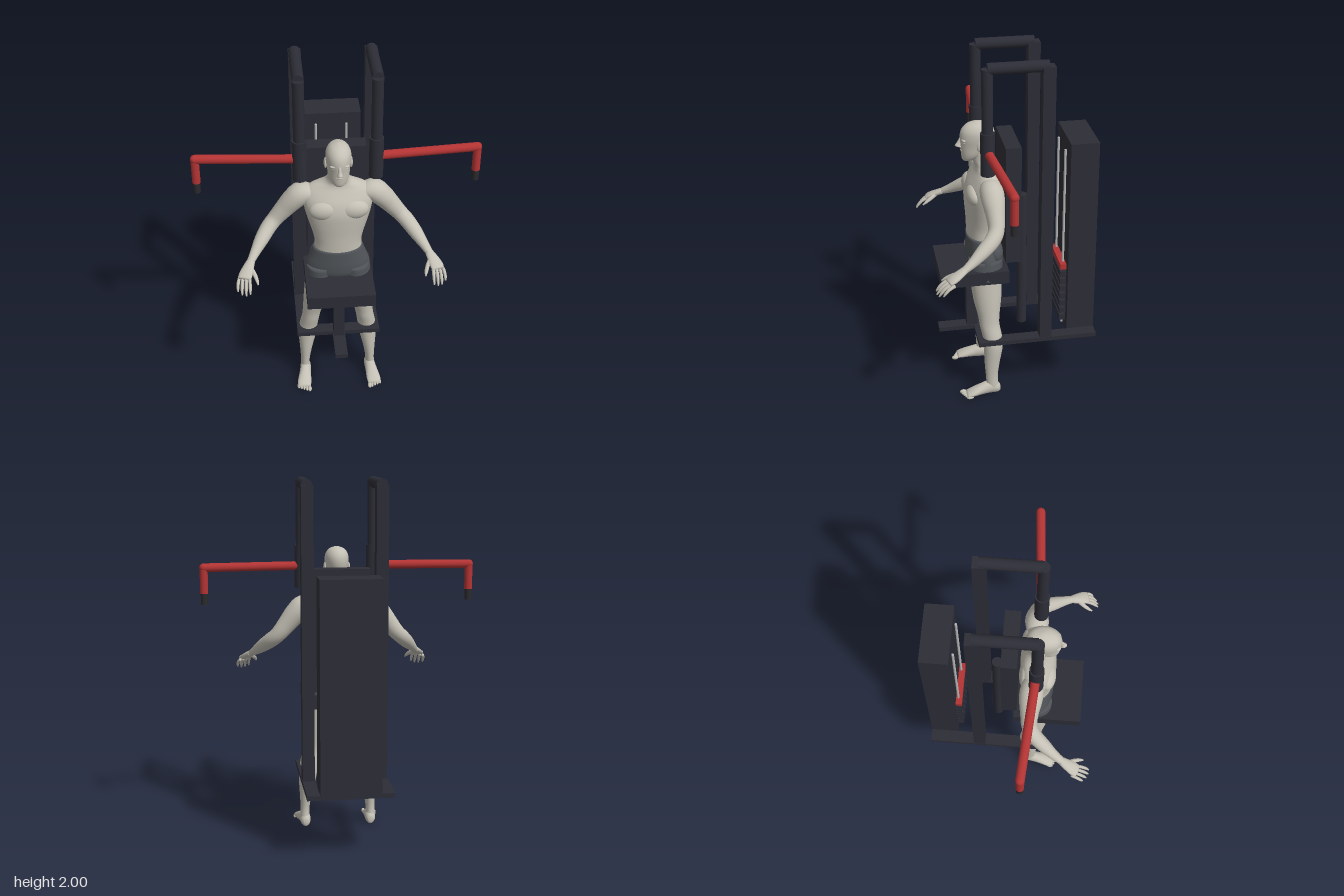
import * as THREE from 'three';

const mat = (name, color) => {
  const m = new THREE.MeshStandardMaterial({ color });
  m.name = name;
  return m;
};
const V = (x, y, z) => new THREE.Vector3(x, y, z);
const X = V(1, 0, 0), Y = V(0, 1, 0), Z = V(0, 0, 1);

// Smooth closed skin through elliptical sections [x, y, z, radiusU, radiusV].
// With an axis all rings lie across it, otherwise they follow the path.
function loft(sections, { axis = null, ref = Z, sides = 24, steps = 4 } = {}) {
  const path = new THREE.CatmullRomCurve3(sections.map(s => V(s[0], s[1], s[2])), false, 'catmullrom');
  const radii = new THREE.CatmullRomCurve3(sections.map(s => V(s[3], s[4], 0)), false, 'catmullrom');
  const n = (sections.length - 1) * steps;
  const pos = [], index = [];
  for (let i = 0; i <= n; i++) {
    const c = path.getPoint(i / n), r = radii.getPoint(i / n);
    const t = axis || path.getTangent(i / n);
    const u = ref.clone().cross(t).normalize();
    if (t === Y) u.copy(X);
    const v = t.clone().cross(u);
    for (let j = 0; j < sides; j++) {
      const a = (j / sides) * Math.PI * 2;
      const p = c.clone().addScaledVector(u, r.x * Math.cos(a)).addScaledVector(v, r.y * Math.sin(a));
      pos.push(p.x, p.y, p.z);
    }
  }
  for (let i = 0; i < n; i++) for (let j = 0; j < sides; j++) {
    const a = i * sides + j, b = i * sides + (j + 1) % sides;
    index.push(a, b, a + sides, b, b + sides, a + sides);
  }
  // end caps
  const first = sections[0], last = sections[sections.length - 1], k = pos.length / 3;
  pos.push(first[0], first[1], first[2], last[0], last[1], last[2]);
  for (let j = 0; j < sides; j++) {
    const j2 = (j + 1) % sides;
    index.push(k, j2, j, k + 1, n * sides + j, n * sides + j2);
  }
  const g = new THREE.BufferGeometry();
  g.setAttribute('position', new THREE.Float32BufferAttribute(pos, 3));
  g.setIndex(index);
  g.computeVertexNormals();
  return g;
}

export function createModel() {
  const model = new THREE.Group();
  model.name = 'chestMachineWithUser';
  const frame = mat('charcoal frame', 0x2d2d37);
  const red = mat('red paint', 0xb43434);
  const grip = mat('black rubber', 0x2a2a2e);
  const steel = mat('steel', 0xb4b4b4);
  const skin = mat('pale skin', 0xc4c0b5);
  const cloth = mat('grey shorts', 0x505458);

  const machine = new THREE.Group(), person = new THREE.Group();
  machine.name = 'machine';
  person.name = 'person';
  model.add(machine, person);

  const add = (parent, name, geo, material) => {
    const m = new THREE.Mesh(geo, material);
    m.name = name;
    parent.add(m);
    return m;
  };
  // box given by its limits
  const box = (name, x0, x1, y0, y1, z0, z1, m = frame) =>
    add(machine, name, new THREE.BoxGeometry(x1 - x0, y1 - y0, z1 - z0), m)
      .position.set((x0 + x1) / 2, (y0 + y1) / 2, (z0 + z1) / 2);
  const rod = (name, a, b, r, m = frame) => {
    const o = add(machine, name, new THREE.CylinderGeometry(r, r, a.distanceTo(b), 24), m);
    o.position.copy(a).add(b).multiplyScalar(0.5);
    o.quaternion.setFromUnitVectors(Y, b.clone().sub(a).normalize());
  };
  const ball = (parent, name, p, s, m) => {
    const o = add(parent, name, new THREE.SphereGeometry(1, 20, 14), m);
    o.position.set(...p);
    o.scale.set(...s);
    return o;
  };

  // base
  box('frontCrossbar', -0.235, 0.235, 0.345, 0.37, 0.13, 0.2);
  box('rearPlate', -0.165, 0.165, 0.345, 0.37, -0.47, -0.315);
  box('frontFoot', -0.035, 0.035, 0.345, 0.37, 0.2, 0.4);

  // seat, backrest, cabinet
  box('seatPost', -0.03, 0.03, 0.37, 0.715, 0.18, 0.24);
  box('seat', -0.185, 0.185, 0.715, 0.79, 0.02, 0.4);
  box('backrest', -0.16, 0.16, 0.83, 1.51, -0.05, 0.035);
  box('cabinet', -0.165, 0.165, 0.37, 1.51, -0.47, -0.315);
  rod('backPost', V(0, 0.35, -0.083), V(0, 1.165, -0.083), 0.028);

  // weight stack
  for (let i = 0; i < 7; i++) box('weightPlate', -0.125, 0.125, 0.405 + i * 0.047, 0.44 + i * 0.047, -0.315, -0.28);
  box('topWeight', -0.125, 0.125, 0.735, 0.768, -0.315, -0.28, red);

  for (const s of [-1, 1]) {
    const x = 0.2 * s;
    box('sideRail', x - 0.035, x + 0.035, 0.345, 0.37, -0.47, 0.2);
    box('upright', x - 0.033, x + 0.033, 0.37, 1.97, -0.212, -0.145);
    rod('topTube', V(x, 1.969, -0.18), V(x, 1.969, 0.138), 0.031);
    rod('hangingTube', V(x, 1.5, 0.138), V(x, 1.969, 0.138), 0.03);
    rod('sleeve', V(x, 1.39, 0.138), V(x, 1.625, 0.138), 0.038);
    rod('guideRod', V(0.085 * s, 0.37, -0.302), V(0.085 * s, 1.45, -0.302), 0.007, steel);
    // swinging arm and handle
    rod('arm', V(x, 1.512, 0.135), V(0.74 * s, 1.512, 0.095), 0.024, red);
    ball(machine, 'armElbow', [0.74 * s, 1.512, 0.095], [0.024, 0.024, 0.024], red);
    rod('handleDrop', V(0.74 * s, 1.37, 0.095), V(0.74 * s, 1.512, 0.095), 0.022, red);
    rod('handGrip', V(0.74 * s, 1.31, 0.095), V(0.74 * s, 1.372, 0.095), 0.019, grip);
  }

  // torso and neck: [y, z, half width, half depth]
  const upright = rows => rows.map(([y, z, a, b]) => [0, y, z, a, b]);
  add(person, 'torso', loft(upright([
    [0.93, 0.145, 0.13, 0.083], [1.0, 0.147, 0.128, 0.083], [1.06, 0.147, 0.14, 0.085],
    [1.13, 0.145, 0.16, 0.092], [1.2, 0.143, 0.178, 0.096], [1.26, 0.135, 0.188, 0.09],
    [1.31, 0.122, 0.185, 0.075], [1.342, 0.12, 0.145, 0.06], [1.368, 0.125, 0.085, 0.053],
    [1.4, 0.138, 0.057, 0.054], [1.46, 0.15, 0.054, 0.055],
  ]), { axis: Y, sides: 36 }), skin);
  add(person, 'shortsHips', loft(upright([
    [0.765, 0.13, 0.15, 0.08], [0.8, 0.135, 0.175, 0.095], [0.85, 0.138, 0.173, 0.097],
    [0.9, 0.141, 0.155, 0.093], [0.957, 0.145, 0.135, 0.087],
  ]), { axis: Y, sides: 36 }), cloth);

  // head and face
  add(person, 'head', loft(upright([
    [1.393, 0.218, 0.018, 0.018], [1.405, 0.208, 0.036, 0.038], [1.435, 0.187, 0.053, 0.063],
    [1.48, 0.168, 0.061, 0.085], [1.53, 0.162, 0.067, 0.094], [1.57, 0.16, 0.063, 0.086],
    [1.6, 0.158, 0.043, 0.058], [1.614, 0.157, 0.01, 0.012],
  ]), { axis: Y, sides: 32 }), skin);
  add(person, 'nose', loft([
    [0, 1.473, 0.252, 0.014, 0.012], [0, 1.481, 0.265, 0.015, 0.018],
    [0, 1.5, 0.257, 0.009, 0.014], [0, 1.527, 0.249, 0.007, 0.007],
  ], { axis: Y, sides: 14 }), skin);
  ball(person, 'upperLip', [0, 1.454, 0.243], [0.022, 0.006, 0.011], skin);
  ball(person, 'lowerLip', [0, 1.444, 0.24], [0.019, 0.006, 0.011], skin);
  ball(person, 'chin', [0, 1.413, 0.228], [0.024, 0.018, 0.018], skin);

  for (const s of [-1, 1]) {
    const side = rows => rows.map(([x, ...r]) => [x * s, ...r]);
    const limb = (name, rows, opt, m = skin) => add(person, name, loft(side(rows), opt), m);

    ball(person, 'brow', [0.026 * s, 1.52, 0.236], [0.024, 0.007, 0.014], skin);
    ball(person, 'eye', [0.027 * s, 1.505, 0.232], [0.015, 0.007, 0.012], skin);
    ball(person, 'ear', [0.067 * s, 1.495, 0.155], [0.009, 0.031, 0.018], skin).rotation.x = -0.2;
    ball(person, 'chestMuscle', [0.078 * s, 1.222, 0.195], [0.083, 0.058, 0.046], skin);
    ball(person, 'shoulderBlade', [0.09 * s, 1.25, 0.075], [0.075, 0.085, 0.032], skin);
    ball(person, 'buttock', [0.075 * s, 0.865, 0.088], [0.08, 0.075, 0.05], cloth);

    // leg, shorts cuff and foot
    limb('leg', [
      [0.192, 0.04, 0.118, 0.027, 0.036], [0.19, 0.11, 0.123, 0.026, 0.034],
      [0.184, 0.2, 0.12, 0.036, 0.043], [0.175, 0.3, 0.112, 0.051, 0.054],
      [0.167, 0.37, 0.115, 0.052, 0.055], [0.155, 0.44, 0.128, 0.05, 0.056],
      [0.145, 0.5, 0.131, 0.054, 0.061], [0.122, 0.6, 0.135, 0.071, 0.079],
      [0.107, 0.71, 0.138, 0.077, 0.088], [0.1, 0.8, 0.138, 0.078, 0.09],
    ], { axis: Y });
    limb('shortsLeg', [
      [0.106, 0.725, 0.138, 0.081, 0.092], [0.1, 0.77, 0.138, 0.082, 0.094], [0.094, 0.84, 0.138, 0.08, 0.094],
    ], { axis: Y }, cloth);
    limb('foot', [
      [0.188, 0.03, 0.075, 0.014, 0.018], [0.189, 0.037, 0.093, 0.027, 0.035],
      [0.19, 0.043, 0.13, 0.031, 0.041], [0.196, 0.036, 0.18, 0.034, 0.034],
      [0.203, 0.024, 0.235, 0.04, 0.022], [0.205, 0.015, 0.272, 0.036, 0.012],
    ], { axis: Z, ref: Y });
    for (let i = 0; i < 5; i++) {
      const r = i ? 0.009 : 0.013;
      ball(person, 'toe', [(0.176 + i * 0.0155) * s, r, 0.288 - i * 0.008], [r * 0.9, r, 0.02], skin);
    }

    // arm, reaching out, down and forward
    limb('arm', [
      [0.13, 1.29, 0.12, 0.05, 0.04], [0.19, 1.287, 0.118, 0.063, 0.062],
      [0.235, 1.25, 0.115, 0.062, 0.06], [0.285, 1.19, 0.113, 0.05, 0.052],
      [0.335, 1.13, 0.117, 0.043, 0.044], [0.375, 1.092, 0.145, 0.042, 0.042],
      [0.415, 1.053, 0.2, 0.038, 0.037], [0.45, 1.017, 0.255, 0.028, 0.027],
      [0.475, 0.992, 0.3, 0.022, 0.019], [0.483, 0.983, 0.318, 0.023, 0.017],
    ], { ref: Y });
    limb('palm', [
      [0.475, 0.992, 0.3, 0.022, 0.018], [0.492, 0.974, 0.337, 0.031, 0.017],
      [0.507, 0.957, 0.372, 0.037, 0.015], [0.514, 0.945, 0.396, 0.034, 0.01],
    ], { ref: Y, sides: 18 });
    for (let i = 0; i < 4; i++) {
      const bx = 0.487 + i * 0.0175, bz = 0.392 - i * 0.006, by = 0.95 - i * 0.004;
      const len = [0.92, 1, 0.95, 0.75][i];
      limb('finger', [
        [bx, by, bz - 0.01, 0.009, 0.01], [bx + 0.003 * i, by - 0.02 * len, bz + 0.03 * len, 0.009, 0.009],
        [bx + 0.004 * i, by - 0.045 * len, bz + 0.055 * len, 0.008, 0.008],
        [bx + 0.004 * i, by - 0.068 * len, bz + 0.071 * len, 0.004, 0.004],
      ], { ref: Y, sides: 10, steps: 3 });
    }
    limb('thumb', [
      [0.485, 0.975, 0.335, 0.014, 0.014], [0.463, 0.957, 0.368, 0.012, 0.012],
      [0.45, 0.938, 0.4, 0.01, 0.009], [0.444, 0.922, 0.424, 0.004, 0.004],
    ], { ref: Y, sides: 10, steps: 3 });
  }
  return model;
}
